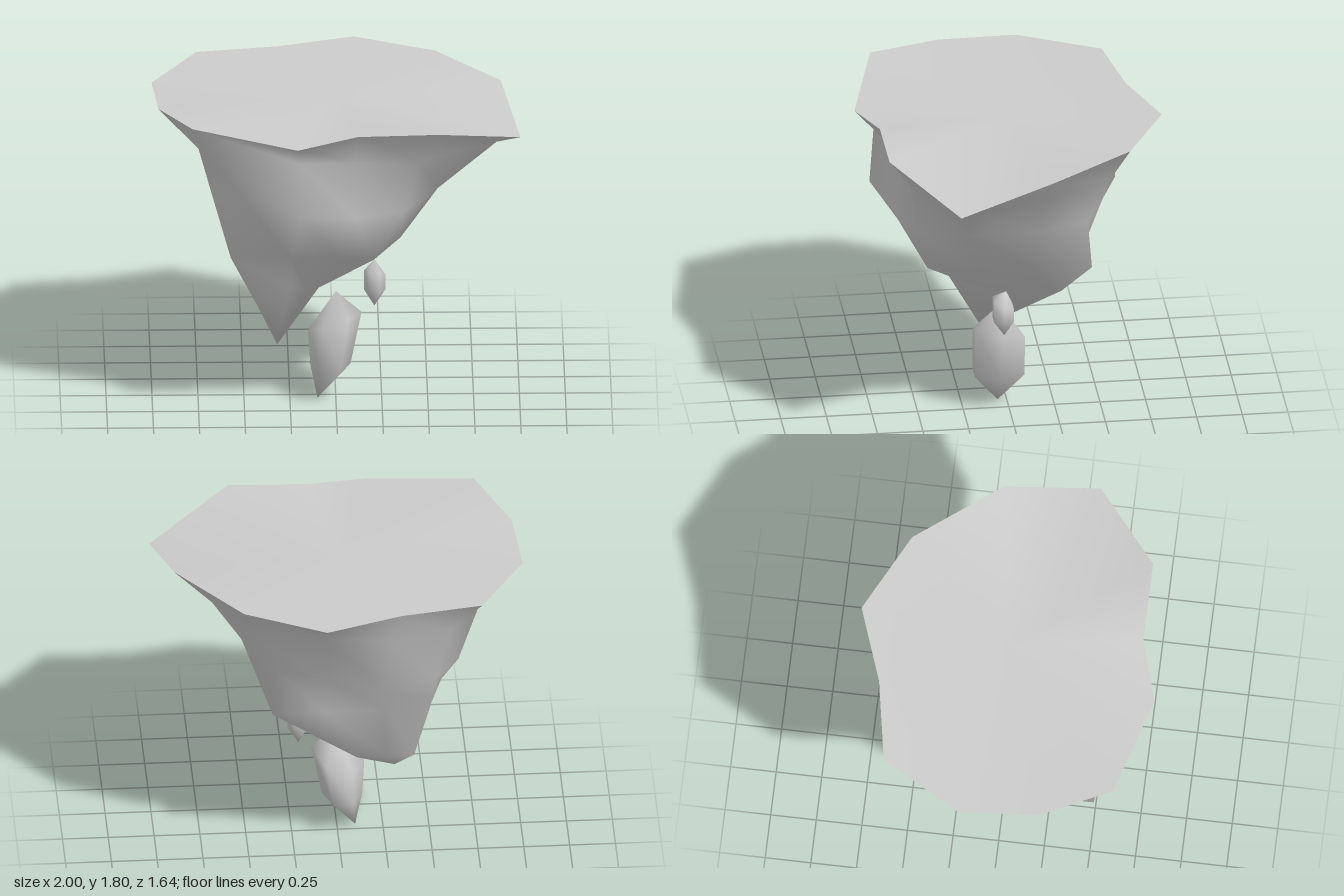
import * as THREE from 'three';

const material = new THREE.MeshStandardMaterial({ color: 0xcccccc, side: THREE.DoubleSide });

// Smooth skin over rings of [x, y, z] points listed top to bottom, with optional end tips
function loft(name, rings, topTip, bottomTip) {
  const n = rings[0].length;
  const points = rings.flat();
  const index = [];
  for (let r = 0; r < rings.length - 1; r++) {
    for (let i = 0; i < n; i++) {
      const a = r * n + i, b = r * n + (i + 1) % n;
      index.push(a, b, a + n, b, b + n, a + n);
    }
  }
  const cap = (tip, start, up) => {
    const t = points.push(tip) - 1;
    for (let i = 0; i < n; i++) {
      const a = start + i, b = start + (i + 1) % n;
      index.push(...(up ? [t, b, a] : [a, b, t]));
    }
  };
  if (topTip) cap(topTip, 0, true);
  if (bottomTip) cap(bottomTip, (rings.length - 1) * n, false);
  const geometry = new THREE.BufferGeometry();
  geometry.setAttribute('position', new THREE.Float32BufferAttribute(points.flat(), 3));
  geometry.setIndex(index);
  geometry.computeVertexNormals();
  const mesh = new THREE.Mesh(geometry, material);
  mesh.name = name;
  return mesh;
}

// A ring of [x, z] or [x, z, y] points at a default height
const ring = (y, points) => points.map(([x, z, h = y]) => [x, h, z]);

// Six-sided ring for the hanging shards, rising by tiltX and tiltZ towards +x and +z
function hexRing(cx, cy, cz, rx, rz, tiltX = 0, tiltZ = 0) {
  return Array.from({ length: 6 }, (_, i) => {
    const t = (i * Math.PI) / 3;
    const dx = -Math.cos(t), dz = -Math.sin(t) / Math.sin(Math.PI / 3);
    return [cx + rx * dx, cy + tiltX * dx + tiltZ * dz, cz + rz * dz];
  });
}

export function createModel() {
  const model = new THREE.Group();
  model.name = 'floatingIsland';

  // Island outline, running from the right side round the back
  const rim = ring(1.77, [
    [-1, -0.16, 1.76], [-0.75, -0.6], [-0.3, -0.68], [0.11, -0.825],
    [0.55, -0.6], [0.9, -0.14], [1, 0.38, 1.635], [0.55, 0.72, 1.78],
    [0.11, 0.72], [-0.22, 0.82, 1.73], [-0.79, 0.665, 1.8], [-0.97, 0.27],
  ]);
  // Recess under the rim
  const neck = ring(1.57, [
    [-0.76, -0.17, 1.5], [-0.58, -0.52], [-0.25, -0.61], [0.1, -0.56],
    [0.51, -0.49, 1.58], [0.7, -0.12], [0.87, 0.33, 1.59], [0.45, 0.58],
    [0.1, 0.58], [-0.2, 0.61], [-0.65, 0.65, 1.59], [-0.75, 0.23, 1.52],
  ]);
  // Rock bulge
  const bulge = ring(1.27, [
    [-0.64, -0.3, 1.25], [-0.5, -0.5, 1.25], [-0.22, -0.61, 1.25], [0.1, -0.5],
    [0.36, -0.39], [0.53, -0.1, 1.3], [0.55, 0.3, 1.31], [0.36, 0.55],
    [0.1, 0.65], [-0.2, 0.74, 1.31], [-0.53, 0.57, 1.38], [-0.68, 0.25],
  ]);
  // Ledge where the underside starts
  const ledge = ring(1, [
    [-0.56, -0.1], [-0.5, -0.3], [-0.23, -0.39], [0.1, -0.4],
    [0.38, -0.41], [0.38, -0.1], [0.35, 0.23], [0.2, 0.47, 0.96],
    [0, 0.5], [-0.25, 0.54], [-0.58, 0.53], [-0.57, 0.2],
  ]);
  // Root, hollowed towards the front
  const root = ring(0.64, [
    [-0.43, -0.1], [-0.4, -0.29], [-0.25, -0.3], [-0.09, -0.3],
    [-0.08, -0.25], [-0.08, -0.1], [-0.08, 0], [-0.1, 0.06],
    [-0.16, 0.13, 0.67], [-0.25, 0.2, 0.7], [-0.435, 0.3], [-0.44, 0.15],
  ]);
  model.add(loft('islandRock', [rim, neck, bulge, ledge, root], null, [-0.32, 0.335, 0.11]));

  // Ground surface, separate so the rim edge stays sharp
  model.add(loft('islandTop', [rim], [0, 1.755, 0], null));

  // Hanging rock shards
  model.add(loft('largeShard',
    [hexRing(-0.005, 0.45, 0.053, 0.145, 0.135, 0.05, 0.025), hexRing(-0.03, 0.2, 0.053, 0.11, 0.135)],
    [0, 0.62, 0.05], [-0.1, 0, 0.05]));
  model.add(loft('smallShard',
    [hexRing(0.211, 0.73, 0.055, 0.058, 0.055, -0.012, 0.025), hexRing(0.211, 0.63, 0.055, 0.058, 0.055)],
    [0.21, 0.8, 0.04], [0.21, 0.535, 0.05]));

  return model;
}
